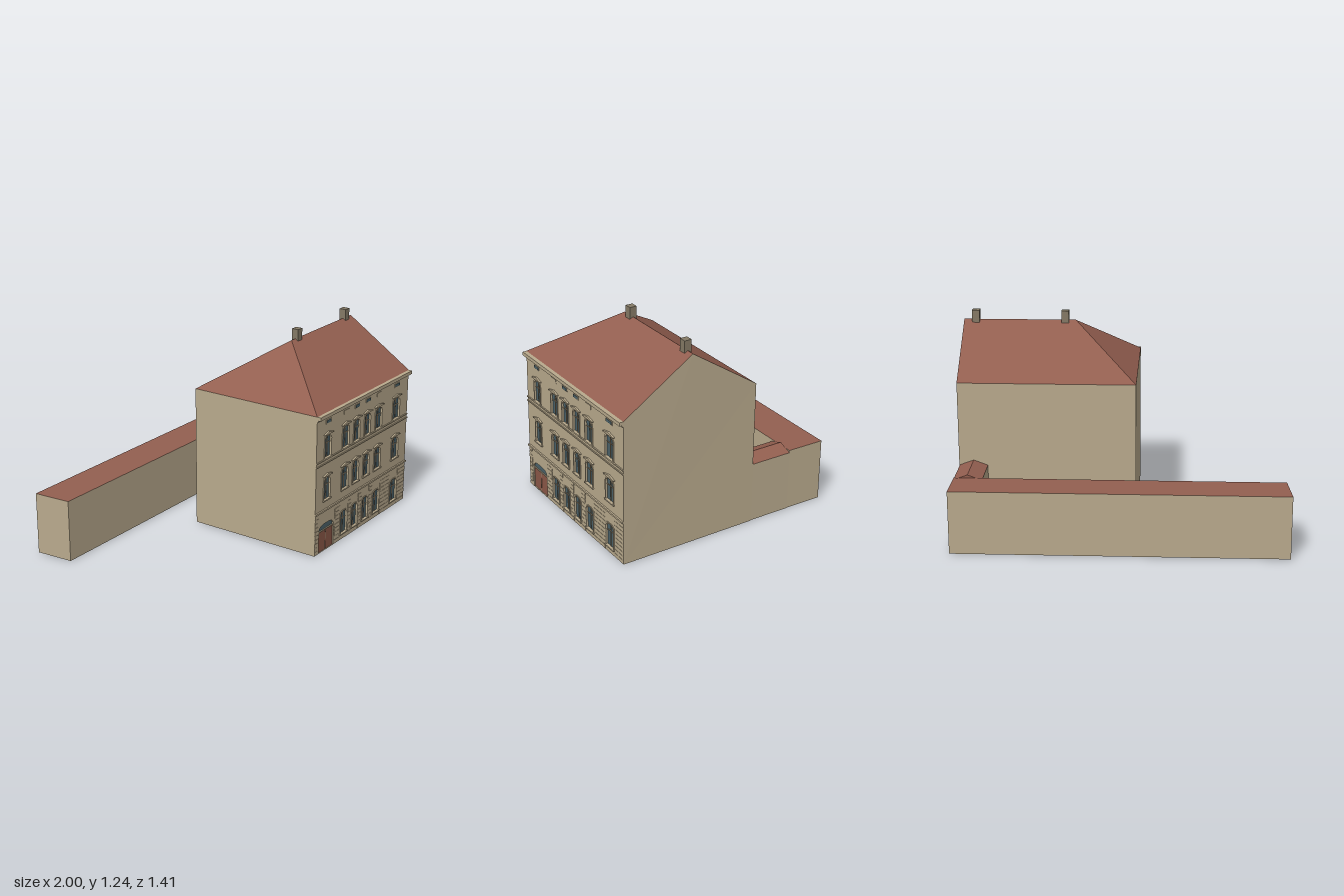
import * as THREE from 'three';

const mat = (name, color, side = THREE.DoubleSide) => {
  const m = new THREE.MeshStandardMaterial({ color, side, flatShading: true });
  m.name = name;
  return m;
};

export function createModel() {
  const root = new THREE.Group();
  root.name = 'townHouse';
  const wall = mat('plaster', 0xb9aa8d);
  const roof = mat('roofTile', 0x935f50);
  const brick = mat('chimneyStone', 0x857a66, THREE.FrontSide);
  const glass = mat('glass', 0x4c6269);
  const frame = mat('windowFrame', 0x9c8a70, THREE.FrontSide);
  const wood = mat('doorWood', 0x8c5848);

  const add = (name, geo, m, parent = root) => {
    const mesh = new THREE.Mesh(geo, m);
    mesh.name = name;
    parent.add(mesh);
    return mesh;
  };
  const box = (name, x0, x1, y0, y1, z0, z1, m, parent) => {
    const g = new THREE.BoxGeometry(x1 - x0, y1 - y0, z1 - z0);
    g.translate((x0 + x1) / 2, (y0 + y1) / 2, (z0 + z1) / 2);
    return add(name, g, m, parent);
  };
  // Flat polygons, each a counter-clockwise list of corners
  const faces = (name, polys, m, parent) => {
    const v = [];
    for (const p of polys)
      for (let i = 1; i < p.length - 1; i++) v.push(...p[0], ...p[i], ...p[i + 1]);
    const g = new THREE.BufferGeometry();
    g.setAttribute('position', new THREE.Float32BufferAttribute(v, 3));
    g.computeVertexNormals();
    return add(name, g, m, parent);
  };

  // Main block: corner positions, eaves and ridge
  const E = 0.89, R = 1.18, ZR = 0.24, ZF = 0.68, ZB = -0.2;
  const XL = -0.085, XR = 1, XB = 0.992, XH = 0.305;
  faces('houseWalls', [
    [[XR, 0, ZF], [XB, 0, ZB], [XB, E, ZB], [XR, R, ZR], [XR, E, ZF]],
    [[XB, 0, ZB], [XL, 0, ZB], [XL, E, ZB], [XB, E, ZB]],
    [[XL, 0, ZB], [XL, 0, ZF], [XL, E, ZF], [XL, E, ZB]],
  ], wall);
  faces('houseRoof', [
    [[XL, E, ZF], [XR, E, ZF], [XR, R, ZR], [XH, R, ZR]],
    [[XB, E, ZB], [XL, E, ZB], [XH, R, ZR], [XR, R, ZR]],
    [[XL, E, ZB], [XL, E, ZF], [XH, R, ZR]],
  ], roof);
  for (const x of [0.37, 0.925])
    box('chimney', x - 0.023, x + 0.023, 1.15, 1.24, 0.215, 0.26, brick);

  // Opening outline with a low arched head
  const arch = (Type, x, w, y0, y1, rise) => {
    const s = new Type();
    const h = w / 2;
    s.moveTo(x - h, y0);
    s.lineTo(x + h, y0);
    s.lineTo(x + h, y1 - rise);
    s.bezierCurveTo(x + h * 0.85, y1 + rise * 0.05, x + h * 0.4, y1, x, y1);
    s.bezierCurveTo(x - h * 0.4, y1, x - h * 0.85, y1 + rise * 0.05, x - h, y1 - rise);
    s.closePath();
    return s;
  };

  // Front wall with openings
  const bays = [[0.04, 0.068], [0.243, 0.072], [0.37, 0.066], [0.497, 0.066], [0.634, 0.074], [0.855, 0.08]];
  const rows = [[0.04, 0.187, 0.024], [0.335, 0.475, 0.03], [0.605, 0.74, 0.022]];
  const front = new THREE.Shape([[XL, 0], [XR, 0], [XR, E], [XL, E]].map(p => new THREE.Vector2(...p)));
  const facade = new THREE.Group();
  facade.name = 'facade';
  root.add(facade);

  const windowUnit = (x, w, y0, y1, rise, hood) => {
    const g = new THREE.Group();
    g.name = 'window';
    facade.add(g);
    front.holes.push(arch(THREE.Path, x, w, y0, y1, rise));
    const pane = new THREE.ShapeGeometry(arch(THREE.Shape, x, w, y0, y1, rise), 6);
    add('windowPane', pane.translate(0, 0, 0.671), glass, g);
    const yt = y0 + (y1 - y0) * 0.66;
    box('mullion', x - 0.002, x + 0.002, y0, y1 - 0.001, 0.671, 0.675, frame, g);
    box('transom', x - w / 2, x + w / 2, yt - 0.002, yt + 0.002, 0.671, 0.675, frame, g);
    // Raised surround and sill
    const rim = arch(THREE.Shape, x, w + 0.014, y0, y1 + 0.007, rise);
    rim.holes.push(arch(THREE.Path, x, w, y0, y1, rise));
    const rg = new THREE.ExtrudeGeometry(rim, { depth: 0.004, bevelEnabled: false, curveSegments: 6 });
    add('surround', rg.translate(0, 0, ZF), wall, g);
    box('sill', x - w / 2 - 0.01, x + w / 2 + 0.01, y0 - 0.008, y0, ZF, 0.689, wall, g);
    if (!hood) return;
    // Shallow pediment
    const h = w / 2 + 0.015, y = y1 + 0.011;
    const tri = new THREE.Shape([[-h, 0], [h, 0], [h, 0.005], [0, 0.017], [-h, 0.005]]
      .map(p => new THREE.Vector2(x + p[0], y + p[1])));
    const tg = new THREE.ExtrudeGeometry(tri, { depth: 0.011, bevelEnabled: false });
    add('hood', tg.translate(0, 0, ZF), wall, g);
  };
  rows.forEach(([y0, y1, rise], r) => bays.forEach(([x, w], i) => {
    if (r || i) windowUnit(x, w, y0, y1, rise, r > 0);
  }));

  // Carriage door under an arched fanlight
  const dx = 0.044, dw = 0.164;
  front.holes.push(arch(THREE.Path, dx, dw, 0.001, 0.178, 0.03));
  box('door', dx - dw / 2, dx + dw / 2, 0, 0.135, 0.669, 0.673, wood, facade);
  box('doorSeam', dx - 0.001, dx + 0.001, 0, 0.135, 0.673, 0.675, frame, facade);
  box('doorLintel', dx - dw / 2, dx + dw / 2, 0.133, 0.14, 0.669, 0.678, wall, facade);
  const fan = new THREE.ShapeGeometry(arch(THREE.Shape, dx, dw, 0.138, 0.178, 0.03), 6);
  add('fanlight', fan.translate(0, 0, 0.672), glass, facade);

  const wg = new THREE.ExtrudeGeometry(front, { depth: 0.012, bevelEnabled: false, curveSegments: 6 });
  add('frontWall', wg.translate(0, 0, ZF - 0.012), wall, facade);

  // Attic vents, some glazed and some blind
  bays.forEach(([x], i) => {
    const h = i === 5 ? 0.033 : 0.028, blind = i === 1 || i === 4;
    box('ventFrame', x - h, x + h, 0.818, 0.843, ZF, 0.683, wall, facade);
    if (!blind) box('ventPane', x - h + 0.005, x + h - 0.005, 0.822, 0.839, 0.683, 0.685, glass, facade);
  });

  // Cornice and string courses
  for (const [y0, y1, z] of [[0.868, 0.89, 0.705], [0.858, 0.868, 0.688], [0.593, 0.6, 0.687],
    [0.567, 0.574, 0.686], [0.264, 0.275, 0.69]])
    box('stringCourse', XL, XR, y0, y1, ZF, z, wall, facade);

  // Ground floor rustication between the openings
  const gaps = [[dx, dw], ...bays.slice(1)];
  let start = XL;
  for (const [x, w] of [...gaps, [XR + 0.012, 0]]) {
    const end = x - w / 2 - 0.012;
    for (let y = 0.004; y < 0.24; y += 0.026)
      box('rustication', start, end, y, y + 0.022, ZF, 0.682, wall, facade);
    start = x + w / 2 + 0.012;
  }

  // Long flat rear wing, open underneath
  const H = 0.385;
  const plan = [[-1, -0.705], [-0.98, -0.468], [0.985, -0.468], [0.988, -0.705]];
  faces('wingWalls', plan.map(([x, z], i) => {
    const [u, v] = plan[(i + 1) % 4];
    return [[x, 0, z], [u, 0, v], [u, H, v], [x, H, z]];
  }), wall);
  faces('wingRoof', [plan.map(([x, z]) => [x, H, z])], roof);

  // Link between house and wing with a low pitched roof
  const l = 0.817, m = 0.903, r = 0.988, e = 0.372, t = 0.404, a = -0.468;
  faces('linkWalls', [
    [[r, 0, ZB], [r, 0, a], [r, e, a], [r, e, ZB]],
    [[l, 0, a], [l, 0, ZB], [l, e, ZB], [l, e, a]],
  ], wall);
  faces('linkRoof', [
    [[r, e, ZB], [r, e, a], [m, t, a], [m, t, ZB]],
    [[l, e, a], [l, e, ZB], [m, t, ZB], [m, t, a]],
    [[r, e, a], [l, e, a], [m, t, a]],
  ], roof);

  return root;
}
